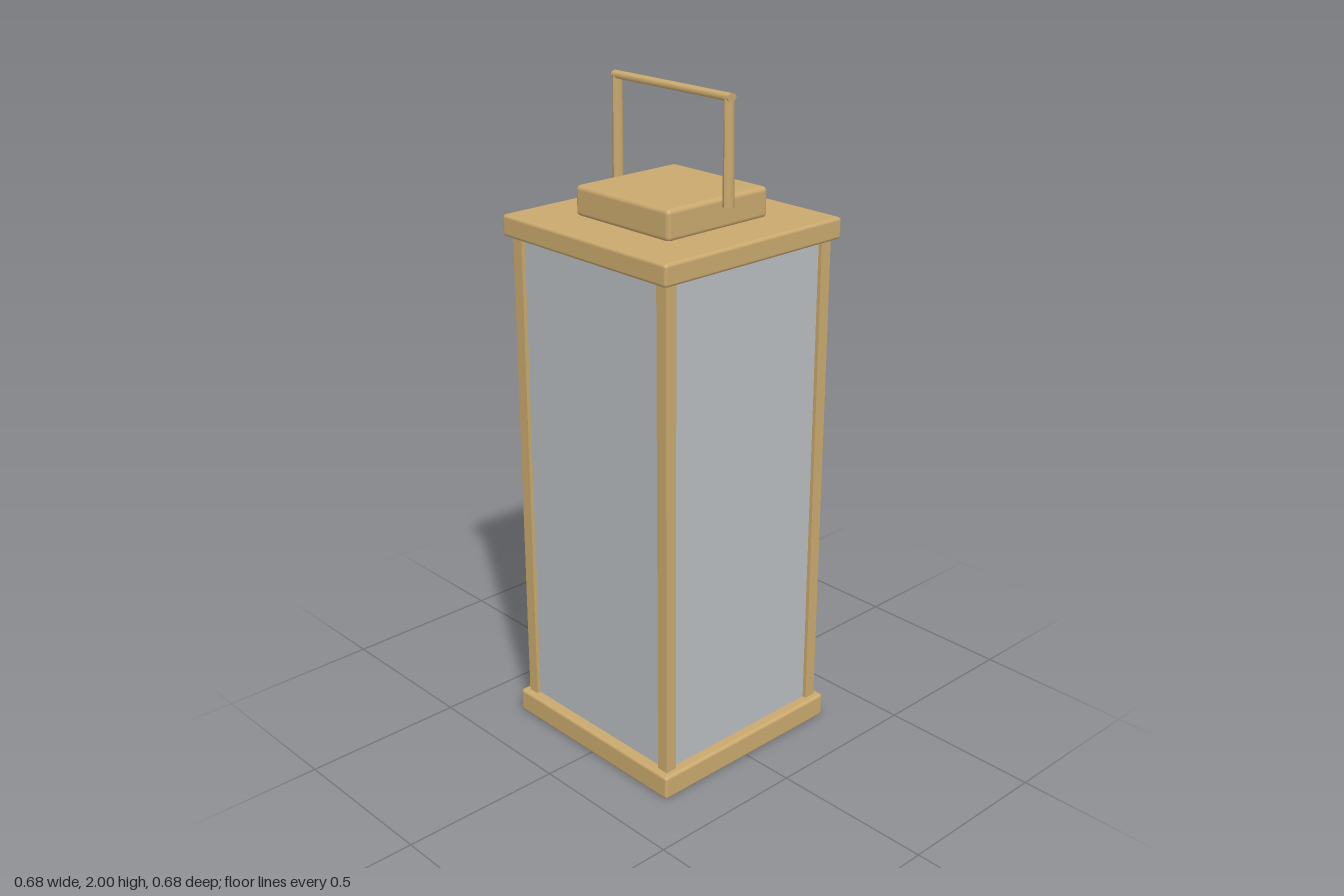
import * as THREE from 'three';
import { RoundedBoxGeometry } from 'three/addons/geometries/RoundedBoxGeometry.js';

export function createModel() {
  const model = new THREE.Group();
  model.name = 'lantern';
  const brass = new THREE.MeshStandardMaterial({ color: 0xc9a96e });
  brass.name = 'warm brass';
  const glass = new THREE.MeshStandardMaterial({ color: 0xb8bcc0 });
  glass.name = 'frosted glass';

  const add = (name, geometry, material, x, y, z, parent = model) => {
    const mesh = new THREE.Mesh(geometry, material);
    mesh.name = name;
    mesh.position.set(x, y, z);
    parent.add(mesh);
    return mesh;
  };
  // Softened square slab between two heights
  const slab = (name, width, y0, y1, radius) =>
    add(name, new RoundedBoxGeometry(width, y1 - y0, width, 2, radius), brass, 0, (y0 + y1) / 2, 0);

  slab('base', 0.676, 0, 0.075, 0.01);
  slab('roof', 0.676, 1.56, 1.624, 0.01);
  slab('roofCap', 0.382, 1.62, 1.71, 0.014);

  // Corner posts
  const bodyHeight = 1.5, bodyY = 0.8175;
  for (const x of [-1, 1]) for (const z of [-1, 1]) {
    add('cornerPost', new THREE.BoxGeometry(0.037, bodyHeight, 0.037), brass, x * 0.2985, bodyY, z * 0.2985);
  }

  // Four glass panes, set slightly behind the post faces
  for (let i = 0; i < 4; i++) {
    const a = i * Math.PI / 2;
    const pane = add('glassPane', new THREE.BoxGeometry(0.562, bodyHeight, 0.012), glass,
      Math.sin(a) * 0.299, bodyY, Math.cos(a) * 0.299);
    pane.rotation.y = a;
  }

  // Carrying handle: two legs that flare downwards and a flattened grip
  const handle = new THREE.Group();
  handle.name = 'handle';
  model.add(handle);
  for (const side of [-1, 1]) {
    const leg = new THREE.CylinderGeometry(1, 1, 0.298, 8);
    const p = leg.attributes.position;
    for (let i = 0; i < p.count; i++) {
      const top = p.getY(i) > 0;
      p.setX(i, p.getX(i) * (top ? 0.01 : 0.016) + side * (top ? 0.222 : 0.224));
      p.setZ(i, p.getZ(i) * 0.017);
    }
    leg.computeVertexNormals();
    add('handleLeg', leg, brass, 0, 1.841, 0, handle);
  }
  const grip = new THREE.CylinderGeometry(1, 1, 0.464, 8);
  grip.rotateZ(Math.PI / 2);
  grip.scale(1, 0.012, 0.017);
  add('handleGrip', grip, brass, 0, 1.988, 0, handle);

  return model;
}
